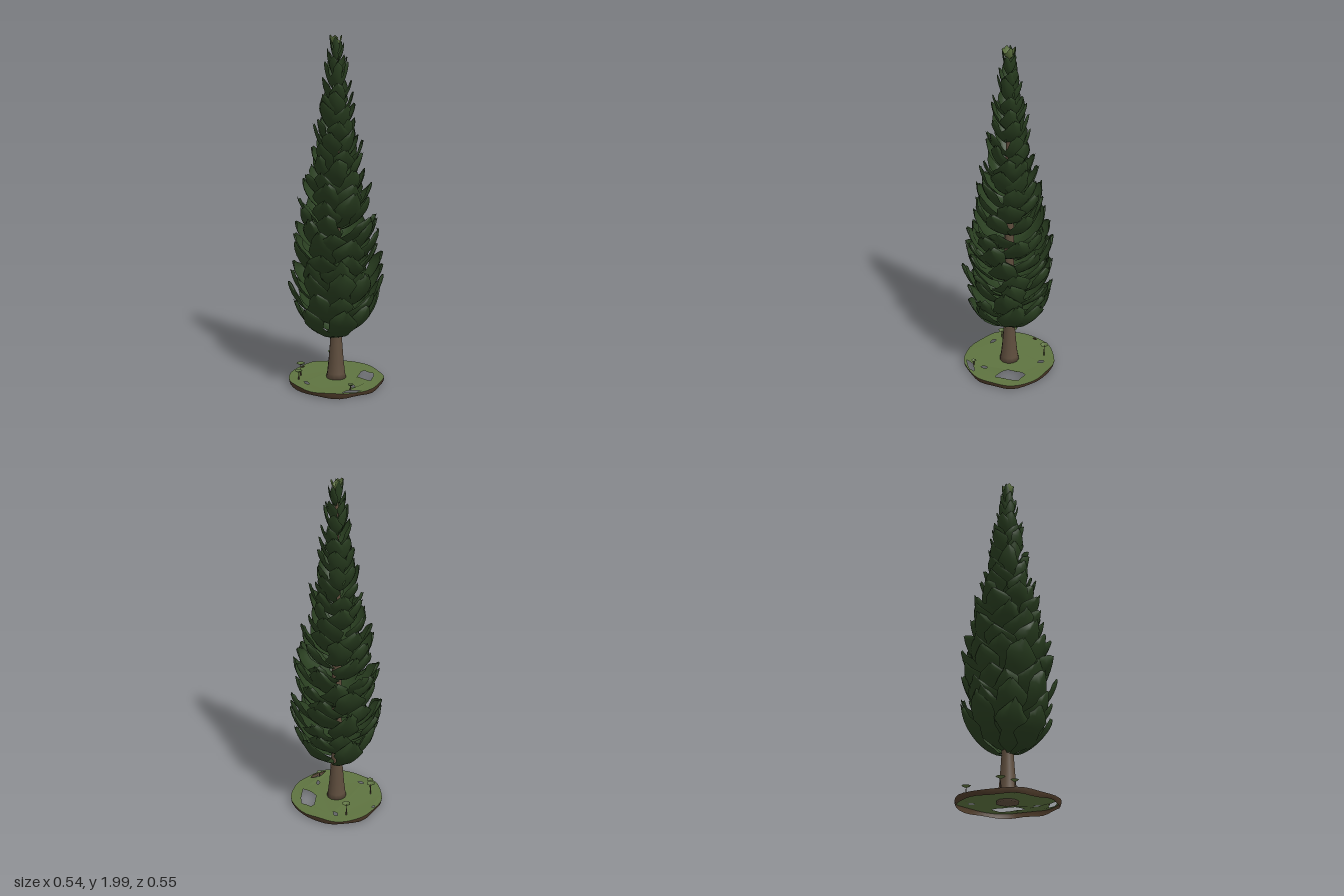
import * as THREE from 'three';
import { mergeGeometries } from 'three/addons/utils/BufferGeometryUtils.js';
import { ParametricGeometry } from 'three/addons/geometries/ParametricGeometry.js';

const TAU = Math.PI * 2;

// small seeded generator
let seed = 7;
const rand = () => {
  seed = (seed * 16807) % 2147483647;
  return seed / 2147483647;
};
const jitter = (a) => (rand() * 2 - 1) * a;

// crown radius by height of the leaf tips
const CROWN = [[0.3, 0.21], [0.5, 0.256], [0.7, 0.264], [0.9, 0.25], [1.0, 0.235], [1.2, 0.195],
  [1.4, 0.15], [1.6, 0.113], [1.8, 0.08], [1.93, 0.052], [2.0, 0.036]];
function crownRadius(y) {
  for (let i = 1; i < CROWN.length; i++) {
    const [y0, r0] = CROWN[i - 1], [y1, r1] = CROWN[i];
    if (y <= y1) return r0 + (r1 - r0) * Math.max(0, (y - y0) / (y1 - y0));
  }
  return CROWN[CROWN.length - 1][1];
}

// one cupped scale: starts at the trunk, sweeps outward, then up to a ragged tip
function leaf(angle, baseY, height, radius, halfAngle) {
  const skew = jitter(0.3), phase = rand() * TAU, rag = 0.14 + rand() * 0.16;
  const geo = new ParametricGeometry((s, v, out) => {
    const u = s * 2 - 1;
    const taper = v < 0.45 ? 0.75 + 0.25 * Math.sin(v / 0.45 * Math.PI / 2)
      : Math.pow(Math.max(0, 1 - ((v - 0.45) / 0.55) ** 1.8), 0.75) * 0.9 + 0.1;
    const ragged = 1 + rag * Math.sin(v * 13 + phase + (u > 0 ? 2 : 0)) * Math.abs(u);
    const a = angle + halfAngle * (u * taper * ragged + skew * v * v);
    const r = radius * (0.12 + 0.88 * Math.sin(1.33 * v) / Math.sin(1.33)) * (1 - 0.08 * u * u * v);
    const droop = 0.05 * u * u * v ** 4 + 0.05 * v * Math.sin(u * 5 + phase);
    const y = baseY + height * (v ** 1.5 - Math.max(0, droop));
    out.set(Math.sin(a) * r, y, Math.cos(a) * r);
  }, 6, 10);
  geo.computeVertexNormals();
  return geo;
}

function tier(name, baseY, height, count, material, turn) {
  const leaves = [];
  for (let i = 0; i < count; i++) {
    const h = height * (1 + jitter(0.16));
    const y = baseY + rand() * height * 0.14;
    const radius = crownRadius(y + h) * (1 + jitter(0.07));
    const a = turn + (i + jitter(0.2)) / count * TAU;
    leaves.push(leaf(a, y, Math.min(h, 2 - y), radius, Math.PI / count * 1.25));
  }
  const mesh = new THREE.Mesh(mergeGeometries(leaves), material);
  mesh.name = name;
  return mesh;
}

// uneven outline of the round turf, slightly squarish
const turfRadius = (a) => 0.274 - 0.004 * Math.cos(a * 4) - 0.003 * Math.cos(a * 2) + 0.003 * Math.sin(a * 9);
const turfHeight = (a) => 0.042 + 0.004 * Math.sin(a * 5 + 2);

// ragged bare hole in the turf; shape y is the opposite of z
function hole(x, z, length, width, angle) {
  const path = new THREE.Path();
  for (let i = 0; i < 11; i++) {
    const a = -i / 11 * TAU, k = 1 + 0.18 * Math.sin(i * 4.1);
    const p = Math.cos(a) * length * k, q = Math.sin(a) * width * k;
    const px = x + p * Math.cos(angle) - q * Math.sin(angle);
    const py = -z + p * Math.sin(angle) + q * Math.cos(angle);
    if (i) path.lineTo(px, py); else path.moveTo(px, py);
  }
  path.closePath();
  return path;
}

export function createModel() {
  seed = 7;
  const model = new THREE.Group();
  model.name = 'cypressTree';
  const make = (name, color) => {
    const m = new THREE.MeshStandardMaterial({ color, side: THREE.DoubleSide });
    m.name = name;
    return m;
  };
  const leafGreen = make('darkLeafGreen', 0x293e20);
  const grassGreen = make('grassGreen', 0x5e7340);
  const bark = make('barkBrown', 0x5e4d3d);
  const earth = make('earthBrown', 0x4a3827);
  const add = (name, geo, mat, parent = model) => {
    const mesh = new THREE.Mesh(geo, mat);
    mesh.name = name;
    parent.add(mesh);
    return mesh;
  };

  // turf sheet with worn holes
  const outline = [];
  for (let i = 0; i < 40; i++) {
    const a = i / 40 * TAU, r = turfRadius(a);
    outline.push(new THREE.Vector2(Math.cos(a) * r, -Math.sin(a) * r));
  }
  const turf = new THREE.Shape(outline.reverse());
  turf.holes.push(
    hole(0.125, 0.125, 0.085, 0.045, Math.PI / 4),
    hole(-0.12, 0.218, 0.052, 0.016, -0.45),
    hole(-0.01, -0.254, 0.014, 0.006, 0),
    hole(-0.05, 0.17, 0.02, 0.01, 0.5),
    hole(0.17, -0.1, 0.02, 0.012, 1),
    hole(-0.19, -0.06, 0.022, 0.01, 1.4),
  );
  const turfGeo = new THREE.ShapeGeometry(turf).rotateX(-Math.PI / 2);
  const pos = turfGeo.attributes.position;
  for (let i = 0; i < pos.count; i++) {
    pos.setY(i, turfHeight(Math.atan2(pos.getZ(i), pos.getX(i))));
  }
  turfGeo.computeVertexNormals();
  add('turf', turfGeo, grassGreen);

  // earth rim below the turf
  const rim = new ParametricGeometry((s, v, out) => {
    const a = s * TAU, r = turfRadius(a) - 0.008 * v * v;
    const low = 0.014 + 0.004 * Math.sin(a * 7);
    out.set(Math.cos(a) * r, turfHeight(a) * (1 - v) + low * v, Math.sin(a) * r);
  }, 40, 3);
  rim.computeVertexNormals();
  add('earthRim', rim, earth);

  // tapering trunk with a flared foot and closed bottom
  const trunkProfile = [[0, 0.03], [0.062, 0.03], [0.053, 0.07], [0.045, 0.14], [0.037, 0.24], [0.032, 0.32],
    [0.028, 0.8], [0.02, 1.4], [0.008, 1.9]].map(([r, y]) => new THREE.Vector2(r, y));
  add('trunk', new THREE.LatheGeometry(trunkProfile, 12), bark);

  // overlapping leaf tiers, smaller towards the top
  const foliage = new THREE.Group();
  foliage.name = 'foliage';
  model.add(foliage);
  const tiers = 21;
  for (let i = 0; i < tiers; i++) {
    const t = i / (tiers - 1);
    const y = 0.28 + 1.57 * t;
    const count = Math.round(8 - 3.5 * t);
    foliage.add(tier('leafTier' + (i + 1), y, 0.25 - 0.12 * t, count, leafGreen, i * 2.4));
  }
  foliage.add(tier('topShoots', 1.93, 0.07, 4, grassGreen, 0.6));

  // little sprouts: a thin stem with a flat leafy cap
  [[-0.18, -0.13, 0.09, 0.022], [-0.12, -0.17, 0.11, 0.027], [0.145, -0.16, 0.115, 0.026],
    [-0.11, 0.2, 0.07, 0.016]].forEach(([x, z, top, r], i) => {
    const sprout = new THREE.Group();
    sprout.name = 'sprout' + (i + 1);
    sprout.position.set(x, 0, z);
    model.add(sprout);
    add('stem', new THREE.CylinderGeometry(0.002, 0.004, top - 0.04, 5).translate(0, (top + 0.04) / 2, 0),
      bark, sprout);
    add('cap', new THREE.ConeGeometry(r, 0.014, 6, 1, true).rotateX(Math.PI).translate(0, top, 0),
      grassGreen, sprout);
  });

  return model;
}
